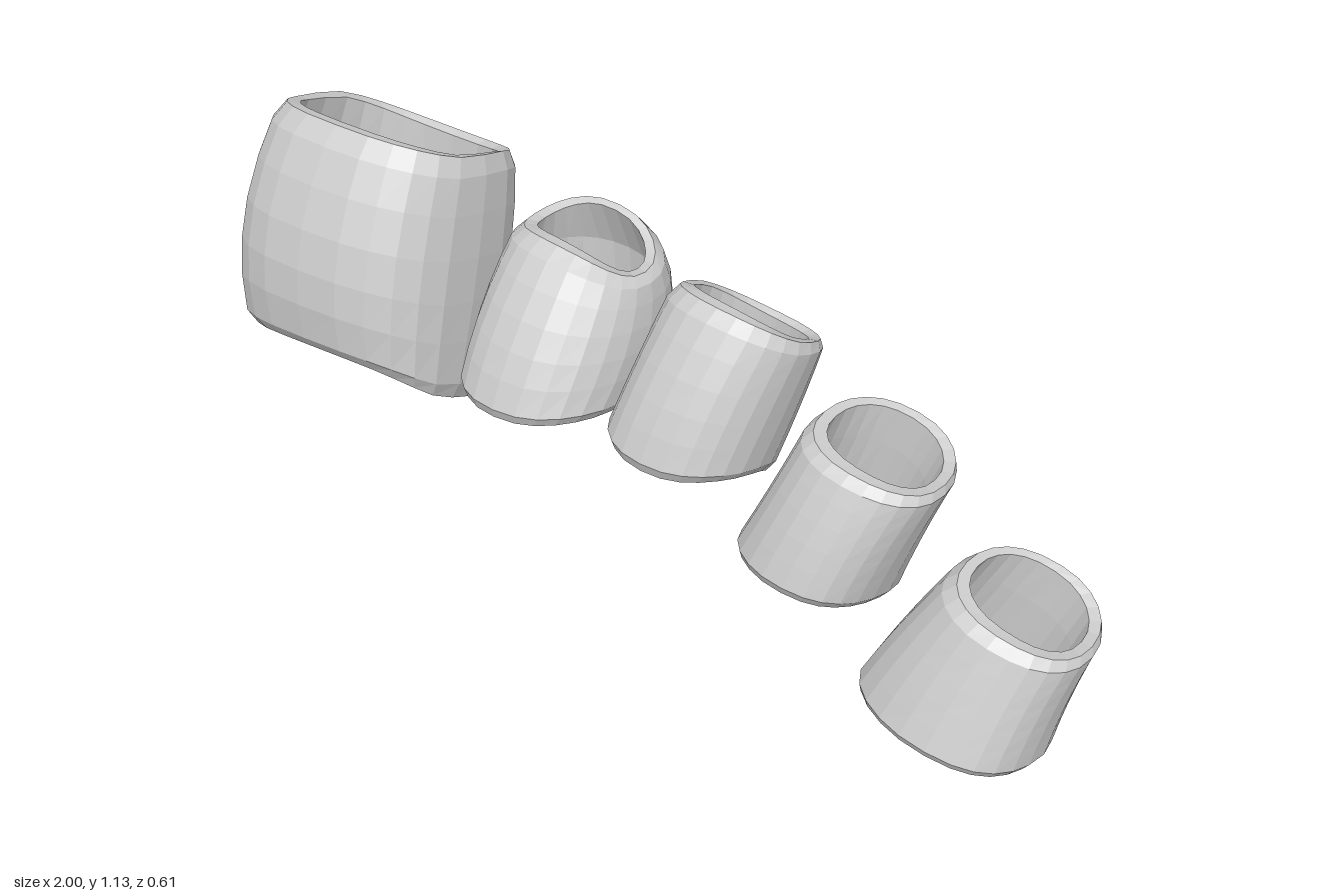
import * as THREE from 'three';

const SIDES = 24;

// Wall profile: [height along the sleeve, inset from the outer surface],
// up the outside, over the top rim, down the inside and back to the bottom rim.
const WALL = [
  [0, 0.014], [0.07, 0], [0.25, 0], [0.42, 0], [0.6, 0], [0.78, 0], [0.93, 0], [1, 0.014],
  [0.985, 0.042], [0.75, 0.045], [0.5, 0.045], [0.25, 0.045], [0.02, 0.038],
];

// Each section: [xRight, yRight, xLeft, yLeft, zFront, yFront, zBack, yBack]
// At the bottom rim: front/back shift the x of those sides, taper narrows the
// back, and twist lowers one back corner.
const SLEEVES = [
  { name: 'thumbSleeve', power: 0.76, front: 0, back: 0, taper: 0, twist: 0.022,
    bottom: [-0.985, 0.575, -0.44, 0.525, 0.295, 0.645, -0.045, 0.475],
    middle: [-1.0, 0.82, -0.437, 0.79, 0.285, 0.885, -0.2, 0.7],
    top: [-0.965, 1.05, -0.46, 1.05, 0.16, 1.13, -0.25, 0.95] },
  { name: 'indexSleeve', power: 0.88, front: -0.01, back: 0.015, taper: 0.2, twist: 0,
    bottom: [-0.37, 0.65, -0.02, 0.65, 0.29, 0.665, -0.09, 0.56],
    middle: [-0.372, 0.81, -0.008, 0.79, 0.21, 0.83, -0.21, 0.75],
    top: [-0.345, 0.96, -0.03, 0.92, 0.085, 0.985, -0.155, 0.98] },
  { name: 'middleSleeve', power: 0.88, front: -0.01, back: 0.025, taper: 0.2, twist: 0,
    bottom: [-0.03, 0.62, 0.295, 0.59, 0.225, 0.63, -0.13, 0.47],
    middle: [-0.005, 0.75, 0.322, 0.73, 0.155, 0.8, -0.195, 0.65],
    top: [0.03, 0.91, 0.35, 0.87, 0.055, 0.96, -0.212, 0.82] },
  { name: 'ringSleeve', power: 0.9, front: 0.03, back: -0.025, taper: 0.2, twist: 0,
    bottom: [0.238, 0.38, 0.578, 0.35, 0.172, 0.425, -0.225, 0.262],
    middle: [0.305, 0.55, 0.625, 0.51, 0.12, 0.57, -0.228, 0.49],
    top: [0.36, 0.71, 0.675, 0.65, 0.06, 0.695, -0.235, 0.69] },
  { name: 'littleSleeve', power: 0.9, front: 0.04, back: -0.06, taper: 0.15, twist: 0,
    bottom: [0.512, 0.095, 0.945, 0.045, 0.12, 0.115, -0.295, 0.0],
    middle: [0.59, 0.26, 0.97, 0.2, 0.06, 0.25, -0.297, 0.19],
    top: [0.68, 0.42, 1.005, 0.34, -0.005, 0.39, -0.308, 0.39] },
];

// Smooth blend through the bottom, middle and top sections
function sectionAt({ bottom, middle, top }, t) {
  const a = 2 * (t - 0.5) * (t - 1), b = 4 * t * (1 - t), c = 2 * t * (t - 0.5);
  return bottom.map((v, k) => a * v + b * middle[k] + c * top[k]);
}

function sleeveGeometry(spec) {
  const points = [], index = [];
  const round = (v) => Math.sign(v) * Math.abs(v) ** spec.power;
  for (const [t, inset] of WALL) {
    const [x0, y0, x1, y1, zF, yF, zB, yB] = sectionAt(spec, t);
    // The wall is thicker at the front than at the back
    const front = zF - inset * 1.15, back = zB + inset * 0.65;
    const halfX = (x1 - x0) / 2 - inset * 0.92, halfZ = (front - back) / 2;
    for (let j = 0; j < SIDES; j++) {
      const angle = (j / SIDES) * Math.PI * 2;
      const c = Math.cos(angle), s = Math.sin(angle);
      const low = 1 - t;
      const shift = (s > 0 ? spec.front : spec.back) * s * s * low;
      const narrow = 1 - spec.taper * low * Math.max(0, -s) ** 2;
      const x = (x0 + x1) / 2 + halfX * round(c) * narrow + shift;
      // Rim tilts front to back and side to side, with a saddle wave
      const y = (y0 + y1 + yF + yB) / 4 + ((yF - yB) / 2) * s + ((y1 - y0) / 2) * c
        + ((y0 + y1 - yF - yB) / 4) * Math.cos(2 * angle) + spec.twist * low * Math.sin(2 * angle);
      points.push(x, y, (front + back) / 2 + halfZ * round(s));
    }
  }
  for (let i = 0; i < WALL.length; i++) {
    const next = (i + 1) % WALL.length;
    for (let j = 0; j < SIDES; j++) {
      const k = (j + 1) % SIDES;
      const a = i * SIDES + j, b = i * SIDES + k, c = next * SIDES + j, d = next * SIDES + k;
      index.push(a, c, b, b, c, d);
    }
  }
  const geometry = new THREE.BufferGeometry();
  geometry.setAttribute('position', new THREE.Float32BufferAttribute(points, 3));
  geometry.setIndex(index);
  // Separate faces for a faceted finish
  const faceted = geometry.toNonIndexed();
  faceted.computeVertexNormals();
  return faceted;
}

export function createModel() {
  const group = new THREE.Group();
  group.name = 'fingerSleeves';
  const material = new THREE.MeshStandardMaterial({ color: 0xcccccc, flatShading: true });
  material.name = 'lightGrey';
  for (const spec of SLEEVES) {
    const mesh = new THREE.Mesh(sleeveGeometry(spec), material);
    mesh.name = spec.name;
    group.add(mesh);
  }
  return group;
}
